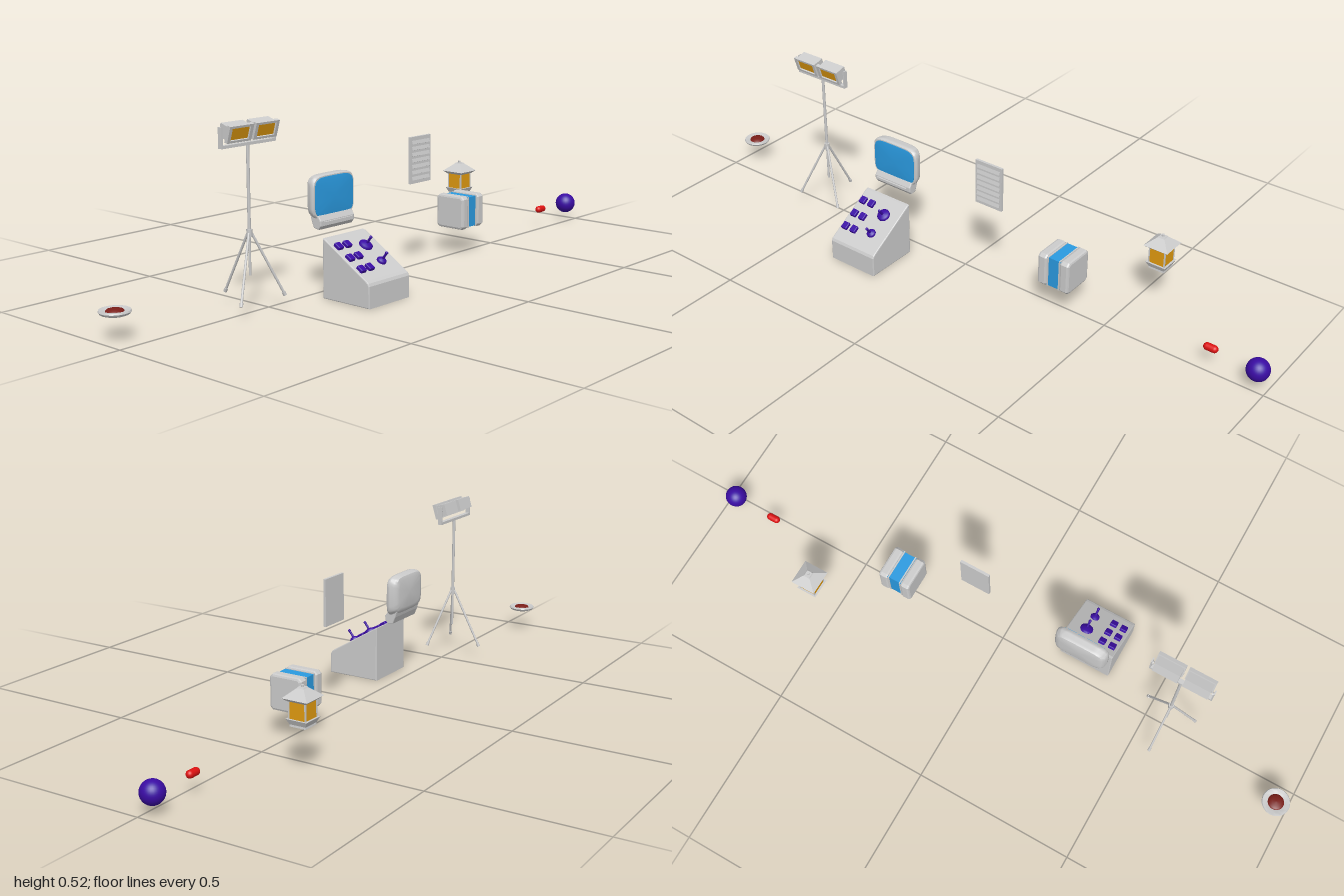
import * as THREE from 'three';
import { toCreasedNormals } from 'three/addons/utils/BufferGeometryUtils.js';
import { RoundedBoxGeometry } from 'three/addons/geometries/RoundedBoxGeometry.js';

const mat = (color) => new THREE.MeshStandardMaterial({ color });
const grey = mat(0xcccccc), blue = mat(0x2a9ae0), amber = mat(0xe09a10);
const purple = mat(0x3a0ca3), red = mat(0xdd1111), darkRed = mat(0x7a1d18);

function add(parent, name, geo, material, x = 0, y = 0, z = 0) {
  const m = new THREE.Mesh(geo, material);
  m.name = name;
  m.position.set(x, y, z);
  parent.add(m);
  return m;
}
function group(parent, name, x = 0, y = 0, z = 0) {
  const g = new THREE.Group();
  g.name = name;
  g.position.set(x, y, z);
  parent.add(g);
  return g;
}
const box = (w, h, d) => new THREE.BoxGeometry(w, h, d);
const cyl = (r1, r2, h, n = 16) => new THREE.CylinderGeometry(r1, r2, h, n);
const lathe = (pts, n = 32) => new THREE.LatheGeometry(pts.map((p) => new THREE.Vector2(...p)), n);

// Round bar between two points
function rod(parent, name, a, b, r, material = grey) {
  const va = new THREE.Vector3(...a), dir = new THREE.Vector3(...b).sub(va);
  const m = add(parent, name, cyl(r, r, dir.length(), 10), material);
  m.position.copy(va).addScaledVector(dir, 0.5);
  m.quaternion.setFromUnitVectors(new THREE.Vector3(0, 1, 0), dir.normalize());
  return m;
}

// Side profile of [z, y] points, extruded across x
function sideExtrude(pts, width, bevel) {
  const shape = new THREE.Shape(pts.map((p) => new THREE.Vector2(...p)));
  const depth = width - 2 * bevel;
  const geo = new THREE.ExtrudeGeometry(shape, {
    depth, bevelEnabled: true, bevelSize: bevel, bevelOffset: -bevel, bevelThickness: bevel, bevelSegments: 2,
  });
  return geo.translate(0, 0, -depth / 2).rotateY(-Math.PI / 2);
}

// Rounded-rectangle sections [z, halfWidth, bottom, top, exponent], back to front, capped
function pillow(sections, n = 40) {
  const pos = [], idx = [];
  const pw = (v, e) => Math.sign(v) * Math.abs(v) ** (2 / e);
  for (const [z, w, y0, y1, e] of sections)
    for (let i = 0; i < n; i++) {
      const t = (i / n) * Math.PI * 2;
      pos.push(w * pw(Math.cos(t), e), (y0 + y1) / 2 + ((y1 - y0) / 2) * pw(Math.sin(t), e), z);
    }
  for (let s = 0; s < sections.length - 1; s++)
    for (let i = 0; i < n; i++) {
      const a = s * n + i, b = s * n + ((i + 1) % n);
      idx.push(a, b, b + n, a, b + n, a + n);
    }
  const last = sections.length - 1;
  for (const [s, front] of [[0, false], [last, true]]) {
    const c = pos.length / 3, [z, , y0, y1] = sections[s];
    pos.push(0, (y0 + y1) / 2, z);
    for (let i = 0; i < n; i++) {
      const a = s * n + i, b = s * n + ((i + 1) % n);
      idx.push(...(front ? [c, a, b] : [c, b, a]));
    }
  }
  const geo = new THREE.BufferGeometry();
  geo.setAttribute('position', new THREE.Float32BufferAttribute(pos, 3));
  geo.setIndex(idx);
  return toCreasedNormals(geo, 0.7);
}

function buildDish(root) {
  const g = group(root, 'dish', -0.958, 0.067, -0.069);
  add(g, 'dishBody', toCreasedNormals(lathe([[0, 0], [0.03, 0], [0.038, 0.003], [0.042, 0.009],
    [0.04, 0.013], [0.032, 0.013], [0.024, 0.009], [0, 0.009]]), 0.5), grey);
  add(g, 'dishCentre', lathe([[0.024, 0.009], [0.021, 0.013], [0.012, 0.016], [0, 0.017]]), darkRed);
}

function buildFloodlight(root) {
  const g = group(root, 'floodlight', -0.562, 0, -0.004);
  rod(g, 'pole', [0, 0.2, 0], [0, 0.455, 0], 0.0045);
  rod(g, 'lowerPole', [0, 0.1, 0], [0, 0.23, 0], 0.0035);
  add(g, 'collar', cyl(0.008, 0.008, 0.02), grey, 0, 0.215, 0);
  for (const [x, z] of [[-0.08, 0.049], [0.08, 0.049], [0, -0.1]]) {
    rod(g, 'leg', [x * 0.06, 0.215, z * 0.06], [x, 0.039, z], 0.0035);
    rod(g, 'foot', [x * 0.95, 0.048, z * 0.95], [x, 0.038, z], 0.005);
  }
  // Yoke holding both lamps
  add(g, 'yokeBar', box(0.19, 0.008, 0.014), grey, 0, 0.454, 0);
  for (const s of [-1, 1]) {
    add(g, 'yokeArm', box(0.004, 0.056, 0.014), grey, s * 0.094, 0.478, 0);
    const lamp = group(g, 'lamp', s * 0.046, 0.493, 0.003);
    lamp.rotation.x = 0.3;
    add(lamp, 'lampBody', box(0.076, 0.036, 0.03), grey, 0, 0, -0.003);
    const frame = new THREE.Shape([[-0.042, -0.0235], [0.042, -0.0235], [0.042, 0.0235], [-0.042, 0.0235]]
      .map((p) => new THREE.Vector2(...p)));
    frame.holes.push(new THREE.Path([[-0.032, -0.017], [-0.032, 0.017], [0.032, 0.017], [0.032, -0.017]]
      .map((p) => new THREE.Vector2(...p))));
    add(lamp, 'lampFrame', new THREE.ExtrudeGeometry(frame, { depth: 0.011, bevelEnabled: false }), grey, 0, 0, 0.012);
    add(lamp, 'lampLens', box(0.064, 0.034, 0.004), amber, 0, 0, 0.016);
    const knob = add(g, 'tiltKnob', cyl(0.005, 0.005, 0.006), grey, s * 0.091, 0.494, -0.002);
    knob.rotation.z = Math.PI / 2;
  }
}

function buildConsole(root) {
  const g = group(root, 'console', -0.2585);
  add(g, 'consoleBody', sideExtrude([[0.052, 0], [0.222, 0], [0.222, 0.062], [0.218, 0.07],
    [0.21, 0.076], [0.06, 0.168], [0.052, 0.17]], 0.168, 0.003), grey);
  const panel = group(g, 'controlPanel', 0, 0.1215, 0.135);
  panel.rotation.x = 0.55;
  for (const x of [-0.064, -0.031])
    for (const z of [-0.05, -0.001, 0.047])
      add(panel, 'key', new RoundedBoxGeometry(0.021, 0.014, 0.023, 2, 0.003), purple, x, 0.003, z);
  for (const [z, r] of [[-0.032, 0.02], [0.036, 0.014]]) {
    add(panel, 'joystickBase', lathe([[r, -0.003], [r, 0.005], [r * 0.8, 0.008], [r * 0.35, 0.011], [0, 0.012]], 20), purple, 0.03, 0, z);
    rod(panel, 'joystick', [0.03, 0.006, z], [0.03, 0.033, z + 0.003], 0.0035, purple);
    add(panel, 'joystickTip', new THREE.SphereGeometry(0.0045, 12, 8), purple, 0.03, 0.033, z + 0.003);
  }
}

function buildMonitor(root) {
  const g = group(root, 'monitor', -0.2585);
  add(g, 'monitorShell', pillow([[-0.017, 0.062, 0.236, 0.325, 4], [-0.014, 0.074, 0.226, 0.334, 5],
    [-0.006, 0.081, 0.218, 0.337, 5], [0.006, 0.084, 0.213, 0.338, 5], [0.014, 0.084, 0.212, 0.337, 5],
    [0.018, 0.081, 0.214, 0.334, 5]]), grey);
  add(g, 'screen', pillow([[0.016, 0.077, 0.218, 0.331, 5], [0.0195, 0.077, 0.218, 0.331, 5],
    [0.0215, 0.06, 0.23, 0.319, 4]]), blue);
  // Neck and ledge under the screen
  add(g, 'neck', sideExtrude([[0.004, 0.189], [0.022, 0.186], [0.031, 0.197], [0.031, 0.211],
    [0.022, 0.225], [-0.011, 0.232], [-0.005, 0.21]], 0.138, 0.003), grey);
  add(g, 'ledge', box(0.116, 0.004, 0.01), grey, 0, 0.207, 0.032);
}

function buildVent(root) {
  const g = group(root, 'ventPanel', 0.106, 0.33, 0.025);
  add(g, 'ventPlate', box(0.094, 0.14, 0.008), grey);
  for (let i = 0; i < 7; i++) {
    const slat = add(g, 'slat', box(0.08, 0.012, 0.003), grey, 0, 0.054 - i * 0.018, 0.004);
    slat.rotation.x = -0.3;
  }
}

function buildCrate(root) {
  const g = group(root, 'crate', 0.347, 0.134, -0.008);
  add(g, 'crateCore', box(0.09, 0.094, 0.094), blue);
  // Chamfered half shells with thin ridges beside the band
  const a = 0.0525, c = 0.0435;
  const octagon = [[-c, -a], [c, -a], [a, -c], [a, c], [c, a], [-c, a], [-a, c], [-a, -c]];
  for (const s of [-1, 1]) {
    add(g, 'crateShell', sideExtrude(octagon, 0.031, 0.007), grey, s * 0.037, 0, 0);
    add(g, 'crateRidge', box(0.004, 0.098, 0.098), grey, s * 0.0195, 0, 0);
  }
}

function buildLantern(root) {
  const g = group(root, 'lantern', 0.565, 0, -0.181);
  // Four-sided frustum given by half widths
  const frustum = (top, bottom, y0, y1) => {
    const geo = cyl(top * Math.SQRT2, bottom * Math.SQRT2, y1 - y0, 4);
    return toCreasedNormals(geo.rotateY(Math.PI / 4).translate(0, (y0 + y1) / 2, 0), 0.1);
  };
  add(g, 'base', frustum(0.024, 0.025, 0.132, 0.139), grey);
  add(g, 'baseFlare', frustum(0.032, 0.025, 0.138, 0.153), grey);
  add(g, 'glass', frustum(0.0255, 0.0255, 0.15, 0.203), amber);
  for (const x of [-1, 1]) for (const z of [-1, 1])
    add(g, 'post', box(0.004, 0.052, 0.004), grey, x * 0.025, 0.177, z * 0.025);
  add(g, 'eave', frustum(0.039, 0.028, 0.2, 0.209), grey);
  add(g, 'roof', frustum(0.011, 0.039, 0.209, 0.233), grey);
  add(g, 'roofCap', frustum(0.009, 0.011, 0.233, 0.236), grey);
  add(g, 'finial', cyl(0.004, 0.004, 0.008), grey, 0, 0.238, 0);
}

export function createModel() {
  const root = new THREE.Group();
  root.name = 'propSet';
  buildDish(root);
  buildFloodlight(root);
  buildConsole(root);
  buildMonitor(root);
  buildVent(root);
  buildCrate(root);
  buildLantern(root);
  const capsule = add(root, 'capsule', new THREE.CapsuleGeometry(0.011, 0.022, 8, 20), red, 0.822, 0.058, -0.027);
  capsule.rotation.z = Math.PI / 2;
  add(root, 'ball', new THREE.SphereGeometry(0.033, 32, 20), purple, 0.967, 0.058, -0.0215);
  return root;
}
